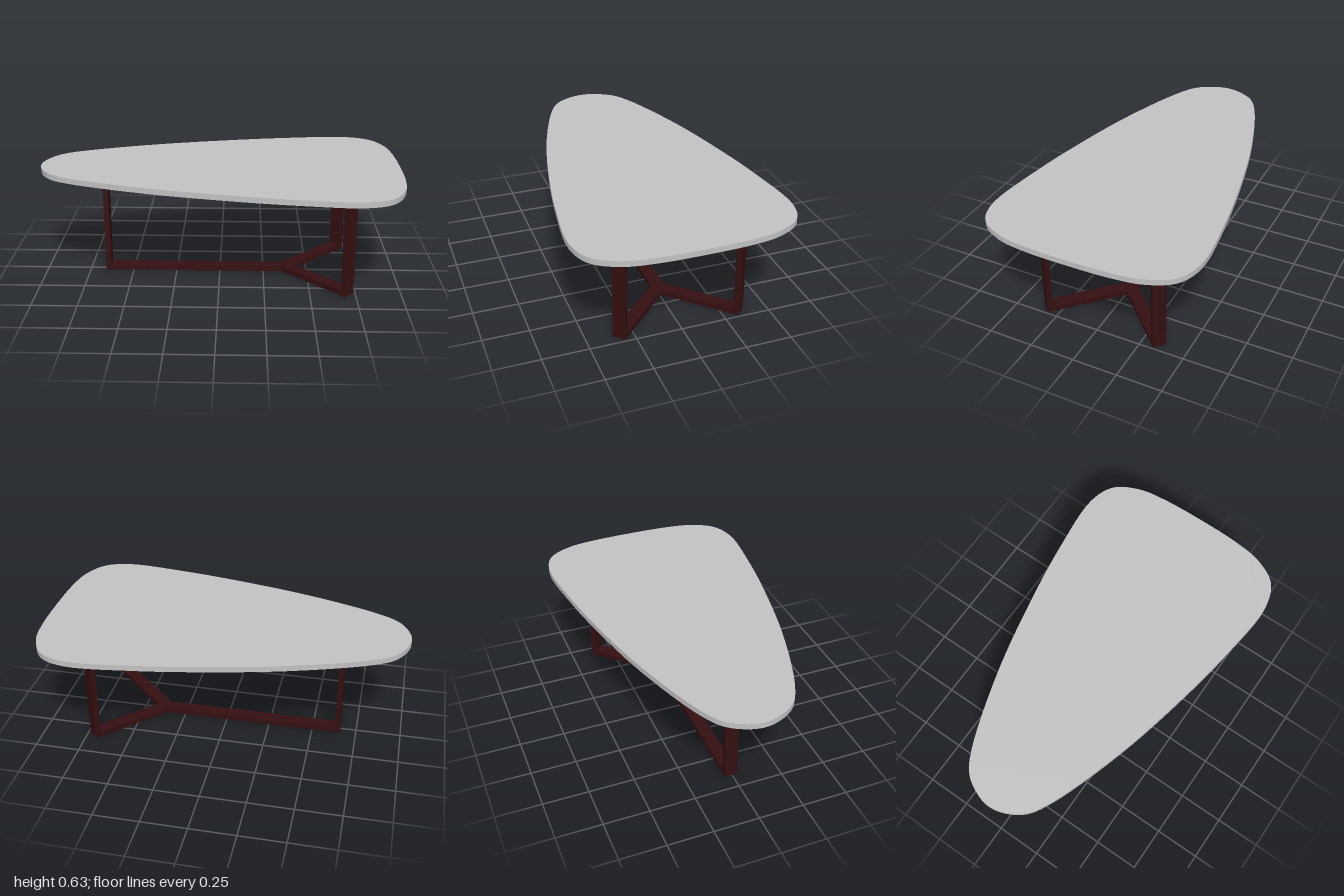
import * as THREE from 'three';

export function createModel() {
  const stone = new THREE.MeshStandardMaterial({ color: 0xc2c2c2 });
  stone.name = 'greyTop';
  const wood = new THREE.MeshStandardMaterial({ color: 0x340f10 });
  wood.name = 'darkWood';
  const table = new THREE.Group();
  table.name = 'coffeeTable';

  // Extrude a plan shape upwards from height y
  const slab = (shape, y, height, material, name, parent) => {
    const geo = new THREE.ExtrudeGeometry(shape, { depth: height, bevelEnabled: false });
    geo.rotateX(-Math.PI / 2);
    const mesh = new THREE.Mesh(geo, material);
    mesh.position.y = y;
    mesh.name = name;
    parent.add(mesh);
  };

  // Table top: half outline mirrored into a closed rounded triangle
  const half = [[0.992, 0.25], [0.966, 0.4], [0.89, 0.53], [0.75, 0.584], [0.4, 0.557],
    [0, 0.488], [-0.4, 0.393], [-0.8, 0.255], [-0.92, 0.183], [-0.98, 0.09]];
  const outline = [[1, 0], ...half, [-1, 0], ...half.map(([x, z]) => [x, -z]).reverse()];
  const curve = new THREE.CatmullRomCurve3(
    outline.map(([x, z]) => new THREE.Vector3(x, z, 0)), true, 'centripetal');
  const topShape = new THREE.Shape(
    curve.getPoints(120).slice(0, -1).map(p => new THREE.Vector2(p.x, p.y)));
  slab(topShape, 0.602, 0.031, stone, 'tableTop', table);

  // Frame: three arms meeting at a hub, each ending in a flat upright leg
  const frame = new THREE.Group();
  frame.name = 'frame';
  frame.position.set(0.372, 0, -0.008);
  table.add(frame);
  const hw = 0.0365, bar = 0.029, height = 0.602, legDepth = 0.03;
  const arms = [
    { angle: Math.PI / 4, length: 0.484, name: 'backLeg' },
    { angle: Math.PI, length: 1.032, name: 'rightLeg' },
    { angle: -Math.PI / 4, length: 0.484, name: 'frontLeg' },
  ];

  // Y-shaped plan: the two tip corners of each arm, then the inner corner to the next arm
  const plan = [];
  arms.forEach(({ angle, length }, i) => {
    const c = Math.cos(angle), s = Math.sin(angle);
    let gap = arms[(i + 1) % 3].angle - angle;
    if (gap < 0) gap += Math.PI * 2;
    const r = hw / Math.sin(gap / 2), mid = angle + gap / 2;
    plan.push(new THREE.Vector2(c * length + s * hw, s * length - c * hw));
    plan.push(new THREE.Vector2(c * length - s * hw, s * length + c * hw));
    plan.push(new THREE.Vector2(Math.cos(mid) * r, Math.sin(mid) * r));
  });
  const yShape = new THREE.Shape(plan);
  slab(yShape, 0, bar, wood, 'lowerBars', frame);
  slab(yShape, height - bar, bar, wood, 'upperBars', frame);

  // Upright legs between the lower and upper bars
  for (const { angle, length, name } of arms) {
    const leg = new THREE.Mesh(new THREE.BoxGeometry(legDepth, height - 2 * bar, hw * 2), wood);
    const r = length - legDepth / 2;
    leg.position.set(Math.cos(angle) * r, height / 2, -Math.sin(angle) * r);
    leg.rotation.y = angle;
    leg.name = name;
    frame.add(leg);
  }
  return table;
}
